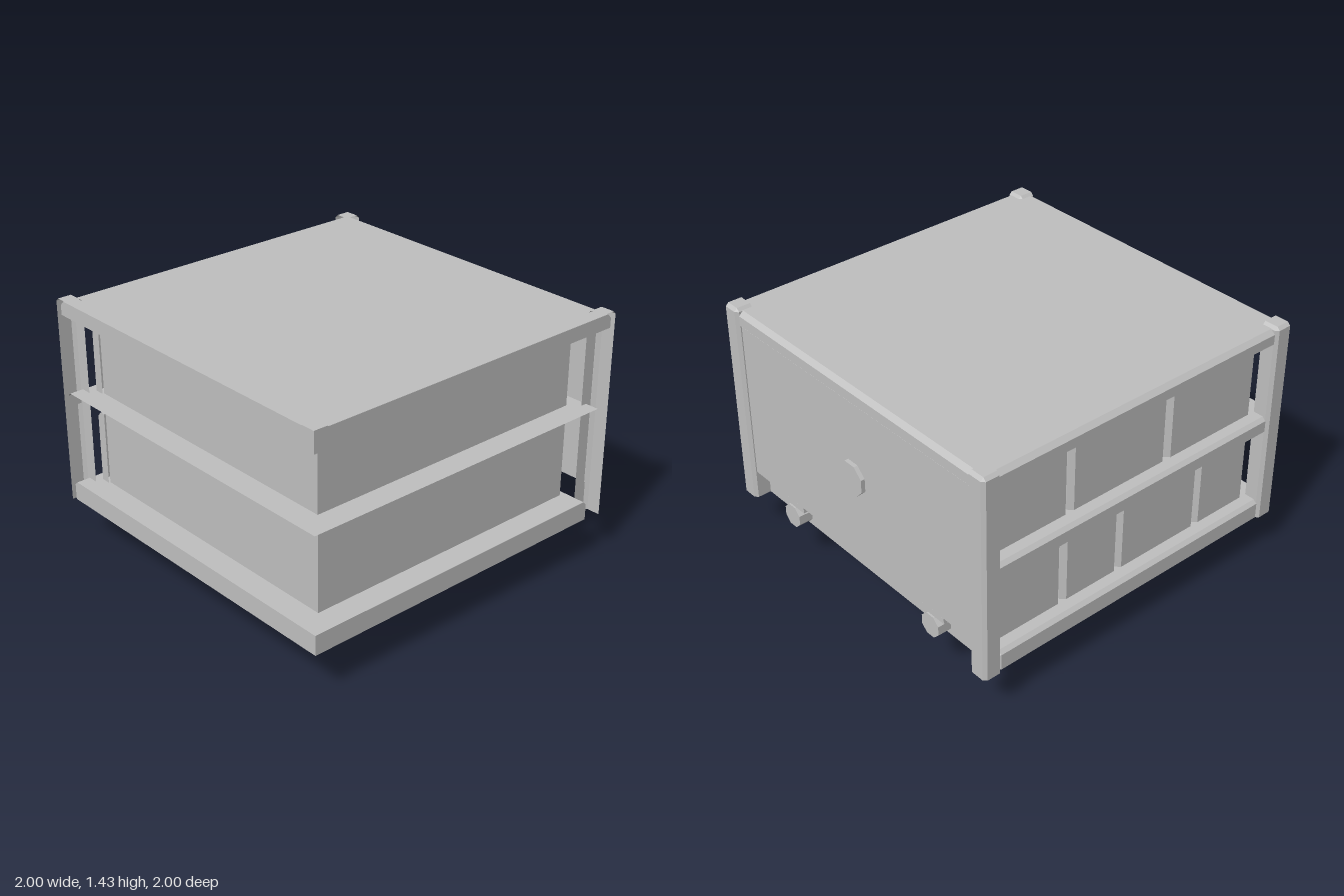
import * as THREE from 'three';

const grey = new THREE.MeshStandardMaterial({ color: 0xc0c0c0, side: THREE.DoubleSide, flatShading: true });
grey.name = 'plain grey';

// Open sheet box whose +x, +y and -z edges are bevelled; faces is any of 'top right back front left bottom'
function bevelShell([x0, x1], [y0, y1], [z0, z1], b, faces) {
  const has = (...names) => names.every((n) => faces.includes(n));
  const xb = x1 - b, yb = y1 - b, zb = z0 + b;
  const pos = [];
  const v = () => new THREE.Vector3();
  // fan of triangles turned to face the outward direction
  const face = (out, ...pts) => {
    const n = v().crossVectors(v().fromArray(pts[1]).sub(v().fromArray(pts[0])), v().fromArray(pts[2]).sub(v().fromArray(pts[0])));
    if (n.dot(v().fromArray(out)) < 0) pts.reverse();
    for (let i = 1; i < pts.length - 1; i++) pos.push(...pts[0], ...pts[i], ...pts[i + 1]);
  };
  if (has('top')) face([0, 1, 0], [x0, y1, zb], [xb, y1, zb], [xb, y1, z1], [x0, y1, z1]);
  if (has('right')) face([1, 0, 0], [x1, y0, zb], [x1, yb, zb], [x1, yb, z1], [x1, y0, z1]);
  if (has('back')) face([0, 0, -1], [x0, y0, z0], [xb, y0, z0], [xb, yb, z0], [x0, yb, z0]);
  if (has('front')) face([0, 0, 1], [x0, y0, z1], [x1, y0, z1], [x1, yb, z1], [xb, y1, z1], [x0, y1, z1]);
  if (has('left')) face([-1, 0, 0], [x0, y0, z0], [x0, yb, z0], [x0, y1, zb], [x0, y1, z1], [x0, y0, z1]);
  if (has('bottom')) face([0, -1, 0], [x0, y0, z0], [xb, y0, z0], [x1, y0, zb], [x1, y0, z1], [x0, y0, z1]);
  // bevel strips between neighbouring faces
  if (has('top', 'right')) face([1, 1, 0], [xb, y1, zb], [x1, yb, zb], [x1, yb, z1], [xb, y1, z1]);
  if (has('top', 'back')) face([0, 1, -1], [x0, y1, zb], [xb, y1, zb], [xb, yb, z0], [x0, yb, z0]);
  if (has('right', 'back')) face([1, 0, -1], [xb, y0, z0], [x1, y0, zb], [x1, yb, zb], [xb, yb, z0]);
  if (has('top', 'right', 'back')) face([1, 1, -1], [xb, y1, zb], [x1, yb, zb], [xb, yb, z0]);
  const g = new THREE.BufferGeometry();
  g.setAttribute('position', new THREE.Float32BufferAttribute(pos, 3));
  g.computeVertexNormals();
  return g;
}

// Eight-sided disc with its axis along x
function octagon(x0, x1, y, z, halfWidth) {
  const r = halfWidth / Math.cos(Math.PI / 8);
  return new THREE.CylinderGeometry(r, r, x1 - x0, 8)
    .rotateY(Math.PI / 8).rotateZ(Math.PI / 2).translate((x0 + x1) / 2, y, z);
}

// Outline given as [z, y], extruded along x
function sidePlate(points, x0, x1) {
  const shape = new THREE.Shape(points.map(([z, y]) => new THREE.Vector2(-z, y)));
  return new THREE.ExtrudeGeometry(shape, { depth: x1 - x0, bevelEnabled: false })
    .rotateY(Math.PI / 2).translate(x0, 0, 0);
}

function box(x0, x1, y0, y1, z0, z1) {
  return new THREE.BoxGeometry(x1 - x0, y1 - y0, z1 - z0)
    .translate((x0 + x1) / 2, (y0 + y1) / 2, (z0 + z1) / 2);
}

export function createModel() {
  const model = new THREE.Group();
  model.name = 'storageUnit';
  const add = (name, geometry, parent = model) => {
    const mesh = new THREE.Mesh(geometry, grey);
    mesh.name = name;
    parent.add(mesh);
  };
  const tray = 'top right back front left';

  // Base, middle shelf and roof: sheets with turned-down lips
  add('base', bevelShell([-0.985, 0.905], [0.26, 0.37], [-0.985, 0.985], 0.02, tray));
  add('shelf', bevelShell([-0.985, 0.96], [0.815, 0.9], [-0.985, 0.985], 0.02, 'top back'));
  add('roof', bevelShell([-0.985, 0.985], [1.34, 1.42], [-0.985, 0.985], 0.025, tray));

  // Inner cabinet
  add('cabinet', box(-0.85, 0.85, 0.37, 1.345, -0.85, 0.85));

  // Open corner posts, and a short cap on the remaining corner
  const low = [-1, -0.905], high = [0.905, 1];
  for (const [x, z] of [[high, high], [high, low], [low, low]]) {
    add('cornerPost', bevelShell(x, [0.26, 1.435], z, 0.017, 'top right back'));
  }
  add('cornerCap', bevelShell(low, [1.32, 1.435], high, 0.017, tray + ' bottom'));

  // Two rows of drawer fronts on the back
  const drawers = new THREE.Group();
  drawers.name = 'drawers';
  model.add(drawers);
  const rows = [
    { y: [0.37, 0.78], spans: [[0.45, 0.86], [0.07, 0.42], [-0.485, 0.045], [-0.86, -0.51]] },
    { y: [0.9, 1.31], spans: [[0.415, 0.86], [-0.235, 0.385], [-0.86, -0.265]] },
  ];
  for (const { y, spans } of rows) {
    for (const x of spans) add('drawerFront', bevelShell(x, y, [-0.905, -0.85], 0.025, 'top right back left'), drawers);
  }

  // Side panel with its round knob
  add('sidePanel', bevelShell([0.945, 0.977], [0.425, 1.345], [-0.905, 0.91], 0.015, 'top right back'));
  add('knob', octagon(0.97, 1, 0.89, 0, 0.09));

  // Rollers and brackets under the panel
  for (const z of [-0.575, 0.575]) {
    add('roller', octagon(0.905, 0.985, 0.325, z, 0.063));
    add('rollerBracket', box(0.89, 0.975, 0.388, 0.422, z - 0.095, z + 0.095));
  }

  // Hanging handle below the floor: strap, two sloping arms and a hub
  const strap = [
    [0.25, 0.37], [0.25, 0.15], [0.11, 0], [-0.11, 0], [-0.25, 0.15], [-0.25, 0.37],
    [-0.2, 0.37], [-0.2, 0.17], [-0.09, 0.05], [0.09, 0.05], [0.2, 0.17], [0.2, 0.37],
  ];
  add('handleStrap', sidePlate(strap, 0, 0.06));
  for (const s of [-1, 1]) {
    const arm = [[0.21, 0.24], [0.01, 0.115], [0.01, 0.155], [0.21, 0.29]];
    add('handleArm', sidePlate(arm.map(([z, y]) => [s * z, y]), 0, 0.06));
  }
  add('handleHub', octagon(-0.003, 0.063, 0.255, 0, 0.063));

  return model;
}
